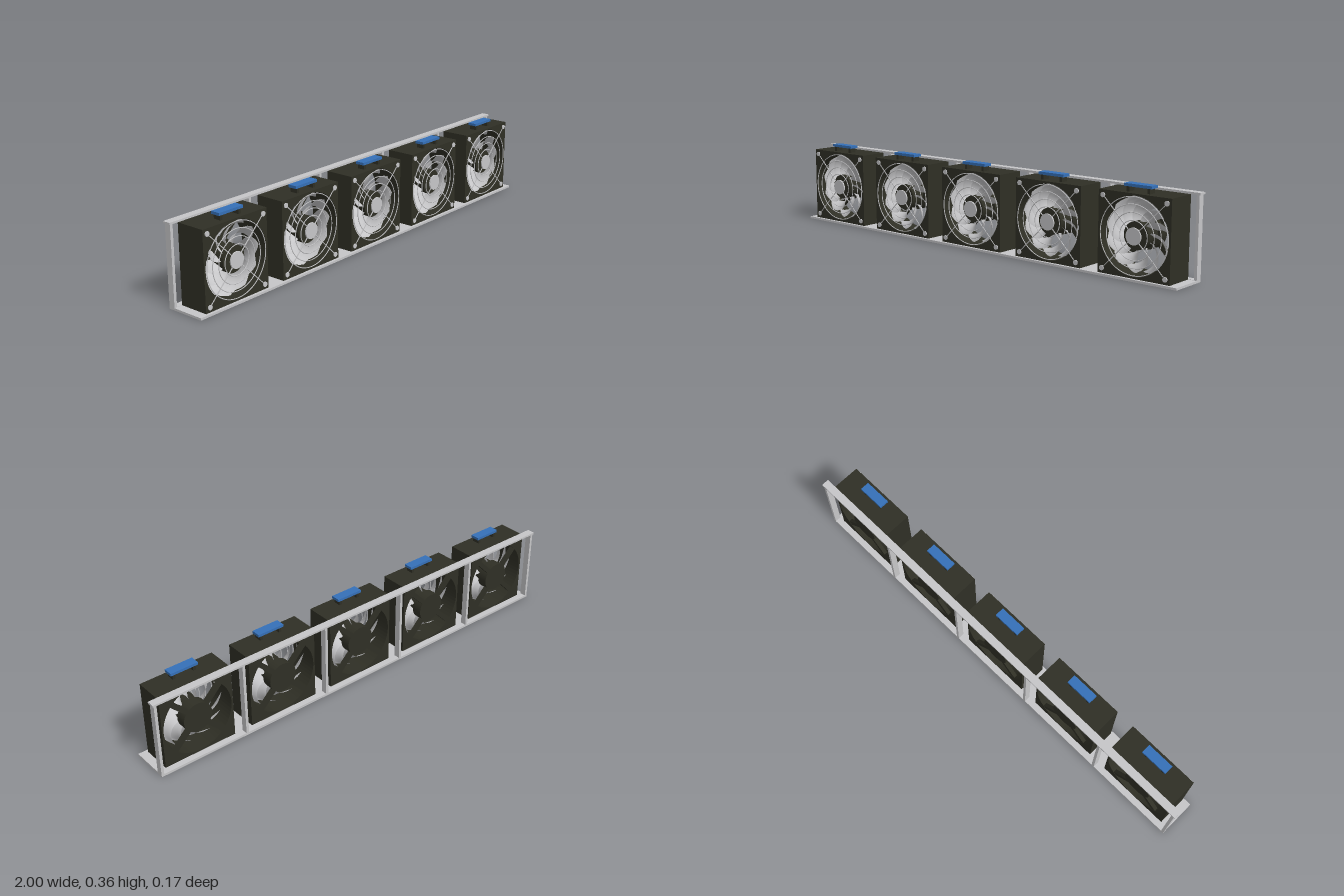
import * as THREE from 'three';

const mat = (name, color, side = THREE.FrontSide) => {
  const m = new THREE.MeshStandardMaterial({ color, side });
  m.name = name;
  return m;
};

export function createModel() {
  const dark = mat('dark plastic', 0x2f2f25);
  const grey = mat('light grey metal', 0xc6c6c8);
  const bladeGrey = mat('blade grey', 0xc6c6c8, THREE.DoubleSide);
  const blue = mat('blue grip', 0x3570b8);

  const add = (parent, name, geo, material, x = 0, y = 0, z = 0) => {
    const m = new THREE.Mesh(geo, material);
    m.name = name;
    m.position.set(x, y, z);
    parent.add(m);
    return m;
  };
  const box = (w, h, d) => new THREE.BoxGeometry(w, h, d);
  const disc = (r, d, n = 40) => new THREE.CylinderGeometry(r, r, d, n).rotateX(Math.PI / 2);

  // Square housing with a round bore, front at z = 0.073
  const half = 0.159;
  const outline = new THREE.Shape();
  outline.moveTo(-half, -half).lineTo(half, -half).lineTo(half, half).lineTo(-half, half).closePath();
  outline.holes.push(new THREE.Path().absarc(0, 0, 0.152, 0, Math.PI * 2, true));
  const housingGeo = new THREE.ExtrudeGeometry(outline, { depth: 0.126, bevelEnabled: false, curveSegments: 32 });
  housingGeo.translate(0, 0, -0.053);

  // One swept, pitched blade, made from arcs of growing radius
  const bladeCount = 11, nr = 8, na = 5;
  const pos = [], index = [];
  for (let i = 0; i <= nr; i++) {
    const t = i / nr, r = 0.05 + 0.096 * t;
    for (let j = 0; j <= na; j++) {
      const s = j / na - 0.5;
      const a = s * (0.5 + 0.02 * t) - 0.75 * t * t;
      pos.push(r * Math.cos(a), r * Math.sin(a), 0.025 + s * (0.055 - 0.015 * t) - 0.02 * s * s);
      if (i < nr && j < na) {
        const k = i * (na + 1) + j, n = k + na + 1;
        index.push(k, n, k + 1, n, n + 1, k + 1);
      }
    }
  }
  const bladeGeo = new THREE.BufferGeometry();
  bladeGeo.setAttribute('position', new THREE.Float32BufferAttribute(pos, 3));
  bladeGeo.setIndex(index);
  bladeGeo.computeVertexNormals();

  function makeFan() {
    const fan = new THREE.Group();
    fan.name = 'fanModule';
    add(fan, 'housing', housingGeo, dark);

    // Rotor and blades
    add(fan, 'rotorHub', disc(0.054, 0.062), dark, 0, 0, 0.026);
    for (let i = 0; i < bladeCount; i++)
      add(fan, 'blade', bladeGeo, bladeGrey).rotation.z = (i / bladeCount) * Math.PI * 2;

    // Rear motor mount with four diagonal struts
    add(fan, 'motorMount', disc(0.063, 0.045), dark, 0, 0, -0.03);
    for (let i = 0; i < 4; i++) {
      const a = Math.PI / 4 + i * Math.PI / 2;
      add(fan, 'strut', box(0.1, 0.02, 0.016), dark, 0.105 * Math.cos(a), 0.105 * Math.sin(a), -0.044).rotation.z = a;
    }

    // Wire guard at the front
    const guard = new THREE.Group();
    guard.name = 'wireGuard';
    fan.add(guard);
    add(guard, 'guardBadge', disc(0.033, 0.006), grey, 0, 0, 0.074);
    for (const r of [0.06, 0.09, 0.12, 0.148])
      add(guard, 'guardRing', new THREE.TorusGeometry(r, 0.0018, 6, 48), grey, 0, 0, 0.0745);
    for (let i = 0; i < 4; i++) {
      const a = Math.PI / 4 + i * Math.PI / 2, c = Math.cos(a), s = Math.sin(a);
      add(guard, 'guardSpoke', box(0.162, 0.003, 0.003), grey, 0.111 * c, 0.111 * s, 0.0735).rotation.z = a;
      add(guard, 'cornerScrew', disc(0.01, 0.005, 16), grey, 0.197 * c, 0.197 * s, 0.0745);
    }

    // Pull handle on top
    for (const s of [-1, 1]) add(fan, 'handlePost', box(0.012, 0.022, 0.033), dark, s * 0.045, half + 0.01, 0.0335);
    add(fan, 'handleGrip', box(0.12, 0.011, 0.04), blue, 0, half + 0.0255, 0.034);
    return fan;
  }

  const model = new THREE.Group();
  model.name = 'fanTray';
  for (let i = -2; i <= 2; i++) {
    const fan = makeFan();
    fan.position.set(i * 0.4, 0.168, 0);
    model.add(fan);
  }

  // Base shelf and rear frame
  add(model, 'baseShelf', box(1.99, 0.009, 0.16), grey, 0, 0.0045, 0.005);
  add(model, 'rearBottomRail', box(1.99, 0.01, 0.027), grey, 0, 0.005, -0.0665);
  add(model, 'rearTopRail', box(2, 0.008, 0.033), grey, 0, 0.332, -0.0665);
  for (const x of [-0.989, -0.6, -0.2, 0.2, 0.6, 0.989])
    add(model, 'rearPost', box(0.012, 0.328, 0.027), grey, x, 0.164, -0.0665);
  return model;
}
